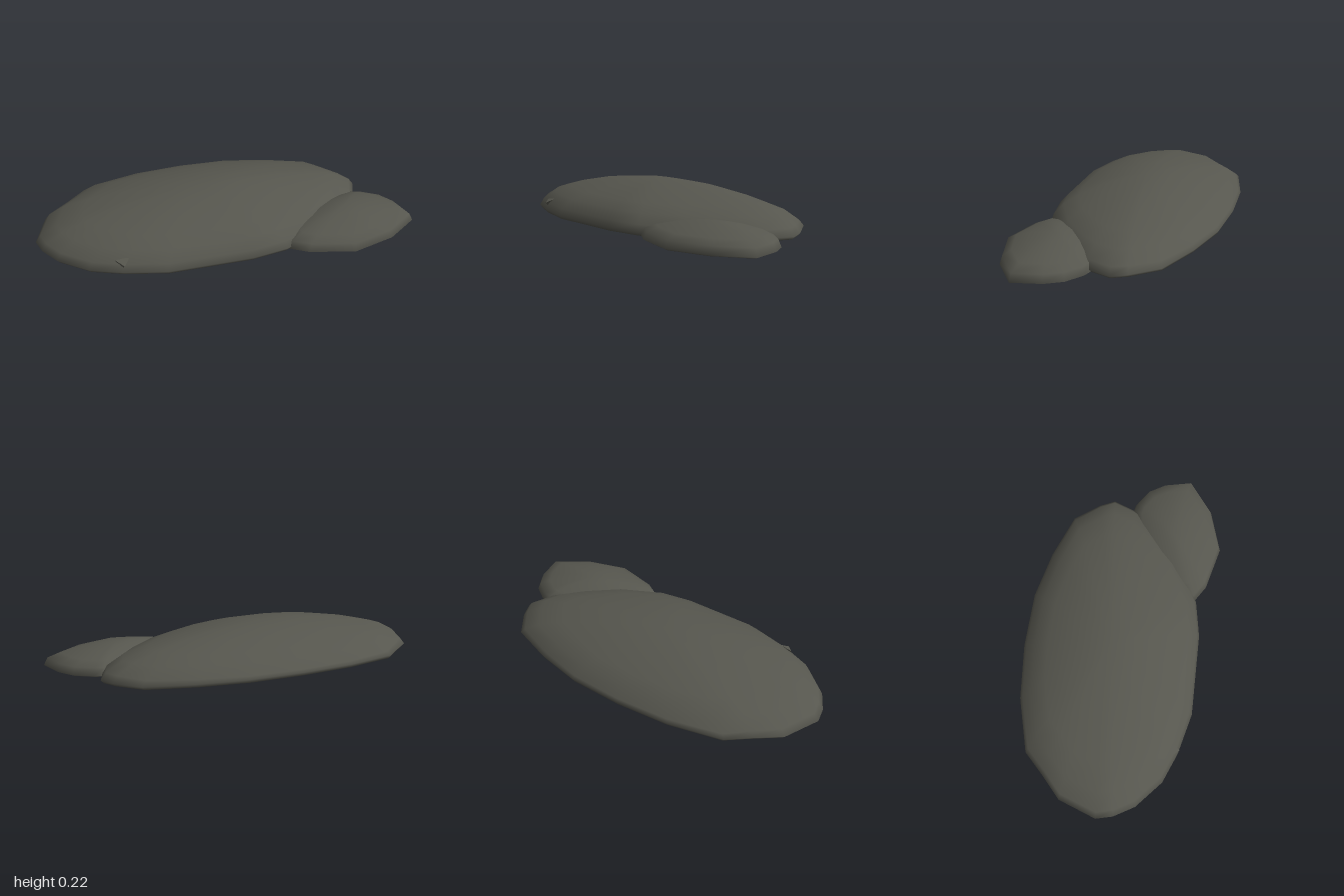
import * as THREE from 'three';

const stone = new THREE.MeshStandardMaterial({ color: 0x56564e });
stone.name = 'dark stone';

// Closed flat mound: the outline [x, z] is scaled about a centre by each
// profile step [scale, y], from the crown down to the underside.
function mound(name, [cx, cz], outline, profile, backLift) {
  const n = outline.length, rings = profile.length;
  const pos = [], idx = [];
  const rim = profile.findIndex(([s]) => s === 1);
  profile.forEach(([s, y], k) => {
    for (const [x, z] of outline) {
      const back = Math.max(0, -z / 0.52) ** 2;
      const lift = k >= rim ? backLift * back * s ** 3 : 0;
      pos.push(cx + (x - cx) * s, y + lift, cz + (z - cz) * s);
    }
  });
  for (let k = 0; k < rings - 1; k++) {
    for (let i = 0; i < n; i++) {
      const j = (i + 1) % n;
      const a = k * n + i, d = k * n + j, b = a + n, c = d + n;
      idx.push(a, c, b, a, d, c);
    }
  }
  // Crown and base centres
  const top = rings * n, base = top + 1, last = (rings - 1) * n;
  pos.push(cx, profile[0][1] + 0.006, cz, cx, profile[rings - 1][1], cz);
  for (let i = 0; i < n; i++) {
    const j = (i + 1) % n;
    idx.push(top, j, i, base, last + i, last + j);
  }
  const geo = new THREE.BufferGeometry();
  geo.setAttribute('position', new THREE.Float32BufferAttribute(pos, 3));
  geo.setIndex(idx);
  geo.computeVertexNormals();
  const mesh = new THREE.Mesh(geo, stone);
  mesh.name = name;
  return mesh;
}

// Small three-sided chip sticking out of the large stone
function chip() {
  const a = [-0.65, 0.085, 0.32], b = [-0.575, 0.093, 0.325];
  const c = [-0.61, 0.07, 0.367], d = [-0.62, 0.03, 0.33];
  const geo = new THREE.BufferGeometry();
  geo.setAttribute('position', new THREE.Float32BufferAttribute(
    [a, c, b, a, d, c, c, d, b, a, b, d].flat(), 3));
  geo.computeVertexNormals();
  const mesh = new THREE.Mesh(geo, stone);
  mesh.name = 'chip';
  return mesh;
}

export function createModel() {
  const group = new THREE.Group();
  group.name = 'flatStones';

  group.add(mound('largeStone', [-0.1, -0.04], [
    [-1, -0.04], [-0.92, -0.24], [-0.8, -0.34], [-0.69, -0.44], [-0.4, -0.505],
    [-0.1, -0.52], [0.2, -0.5], [0.46, -0.43], [0.7, -0.33], [0.8, -0.19],
    [0.835, -0.11], [0.78, 0.02], [0.68, 0.13], [0.5, 0.28], [0.25, 0.4],
    [0.05, 0.43], [-0.4, 0.42], [-0.62, 0.36], [-0.78, 0.29], [-0.92, 0.16],
    [-0.98, 0.05],
  ], [
    [0.25, 0.217], [0.5, 0.191], [0.72, 0.153], [0.87, 0.117], [0.97, 0.068],
    [1, 0.03], [0.98, 0.013], [0.9, 0.006], [0.6, 0.003], [0.3, 0.002],
  ], 0.026));

  group.add(mound('smallStone', [0.62, 0.24], [
    [0.26, 0.39], [0.27, 0.29], [0.4, 0.14], [0.6, 0.03], [0.78, 0],
    [0.83, 0.015], [0.92, 0.08], [0.97, 0.17], [1, 0.325], [0.82, 0.45],
    [0.585, 0.515], [0.35, 0.45],
  ], [
    [0.25, 0.12], [0.5, 0.107], [0.78, 0.083], [0.95, 0.058],
    [1, 0.018], [0.95, 0.01], [0.6, 0.008],
  ], 0));

  group.add(chip());
  return group;
}
